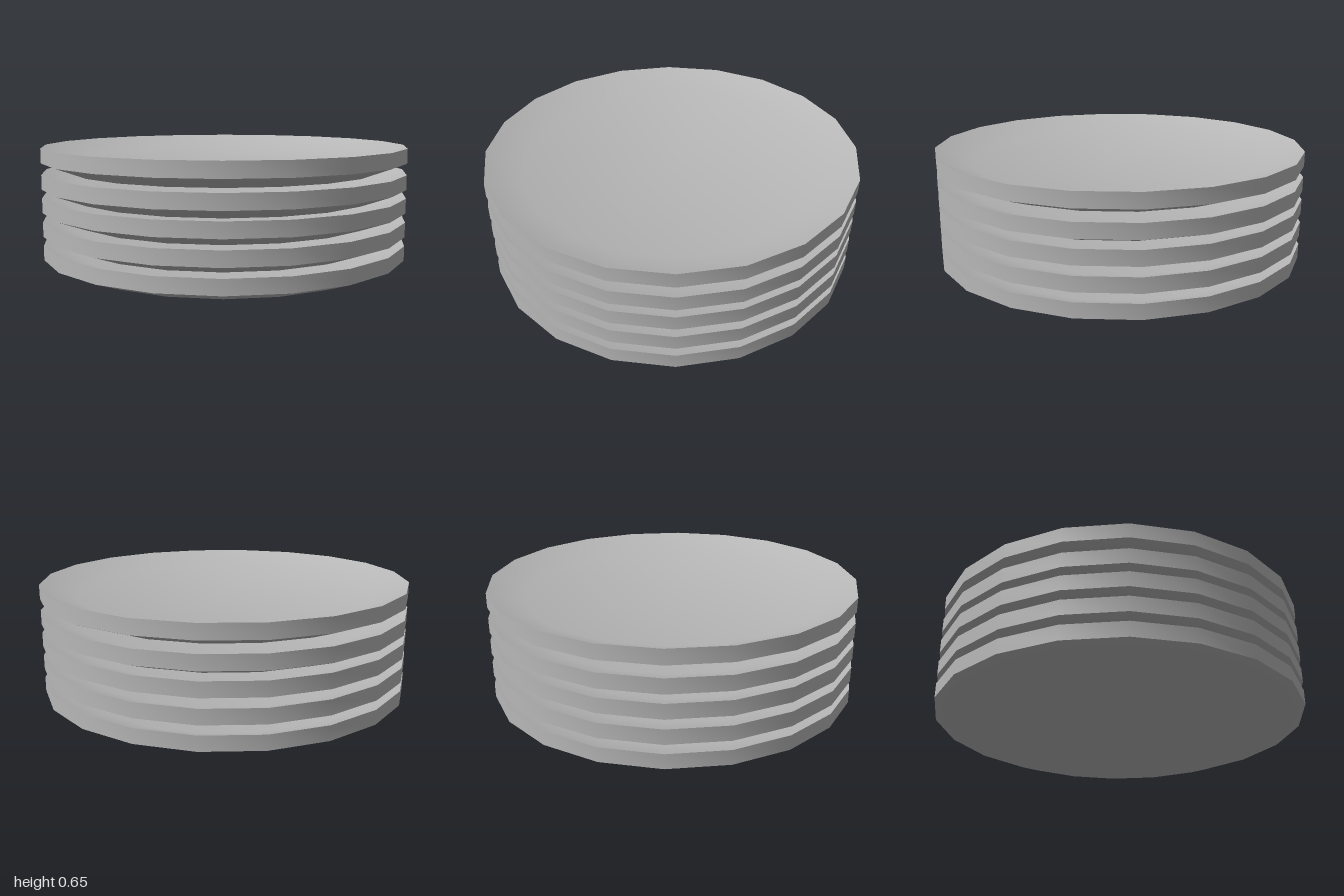
import * as THREE from 'three';
import { toCreasedNormals } from 'three/addons/utils/BufferGeometryUtils.js';

export function createModel() {
  const model = new THREE.Group();
  model.name = 'plateStack';

  const ceramic = new THREE.MeshStandardMaterial({ color: 0xb8b8b8 });
  ceramic.name = 'grey ceramic';

  // plate section: flat base, flared underside, upright rim, shallow dish
  const profile = [
    [0, 0], [0.84, 0], [1, 0.059], [1, 0.137], [0.81, 0.067], [0, 0.067],
  ].map(([r, y]) => new THREE.Vector2(r, y));
  const plateGeometry = toCreasedNormals(new THREE.LatheGeometry(profile, 20), 0.5);

  // five plates, slightly unevenly stacked
  [0, 0.126, 0.253, 0.376, 0.514].forEach((y, i) => {
    const plate = new THREE.Mesh(plateGeometry, ceramic);
    plate.name = `plate${i + 1}`;
    plate.position.y = y;
    model.add(plate);
  });

  return model;
}
